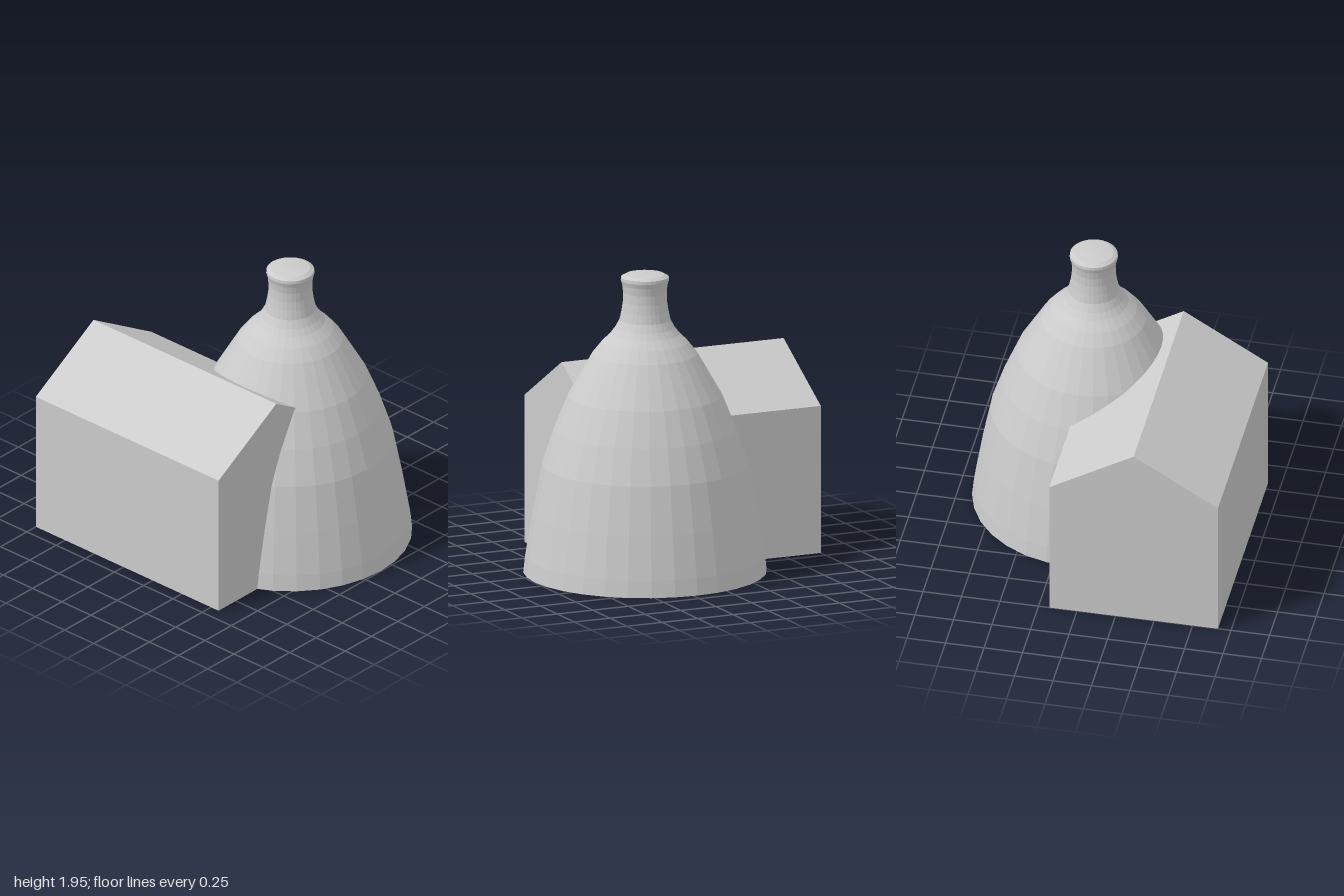
import * as THREE from 'three';

export function createModel() {
  const model = new THREE.Group();
  const material = new THREE.MeshStandardMaterial({ color: 0xcccccc, flatShading: true });

  // Bottle-shaped kiln: [radius, height] from the base centre up to the cap
  const profile = [
    [0, 0], [0.775, 0], [0.763, 0.11], [0.716, 0.39], [0.656, 0.7], [0.58, 0.93],
    [0.49, 1.15], [0.41, 1.29], [0.335, 1.42], [0.275, 1.495], [0.22, 1.55], [0.19, 1.59],
    [0.163, 1.64], [0.15, 1.7], [0.141, 1.76], [0.139, 1.82], [0.145, 1.87],
    [0.154, 1.9], [0.152, 1.92], [0.125, 1.935], [0.06, 1.942], [0, 1.945],
  ].map(([r, y]) => new THREE.Vector2(r, y));
  const kiln = new THREE.Mesh(new THREE.LatheGeometry(profile, 32), material);
  kiln.name = 'bottleKiln';
  kiln.position.set(0.223, 0, -0.145);
  model.add(kiln);

  // Gabled building: end wall outline (z, y) extruded along x
  const gable = new THREE.Shape([
    [-0.18, 0], [0.915, 0], [0.915, 0.96], [0.368, 1.288], [-0.18, 0.96],
  ].map(([z, y]) => new THREE.Vector2(z, y)));
  const houseGeometry = new THREE.ExtrudeGeometry(gable, { depth: 1.565, bevelEnabled: false });
  houseGeometry.rotateY(-Math.PI / 2).translate(0.565, 0, 0);
  const house = new THREE.Mesh(houseGeometry, material);
  house.name = 'gabledBuilding';
  model.add(house);

  return model;
}
